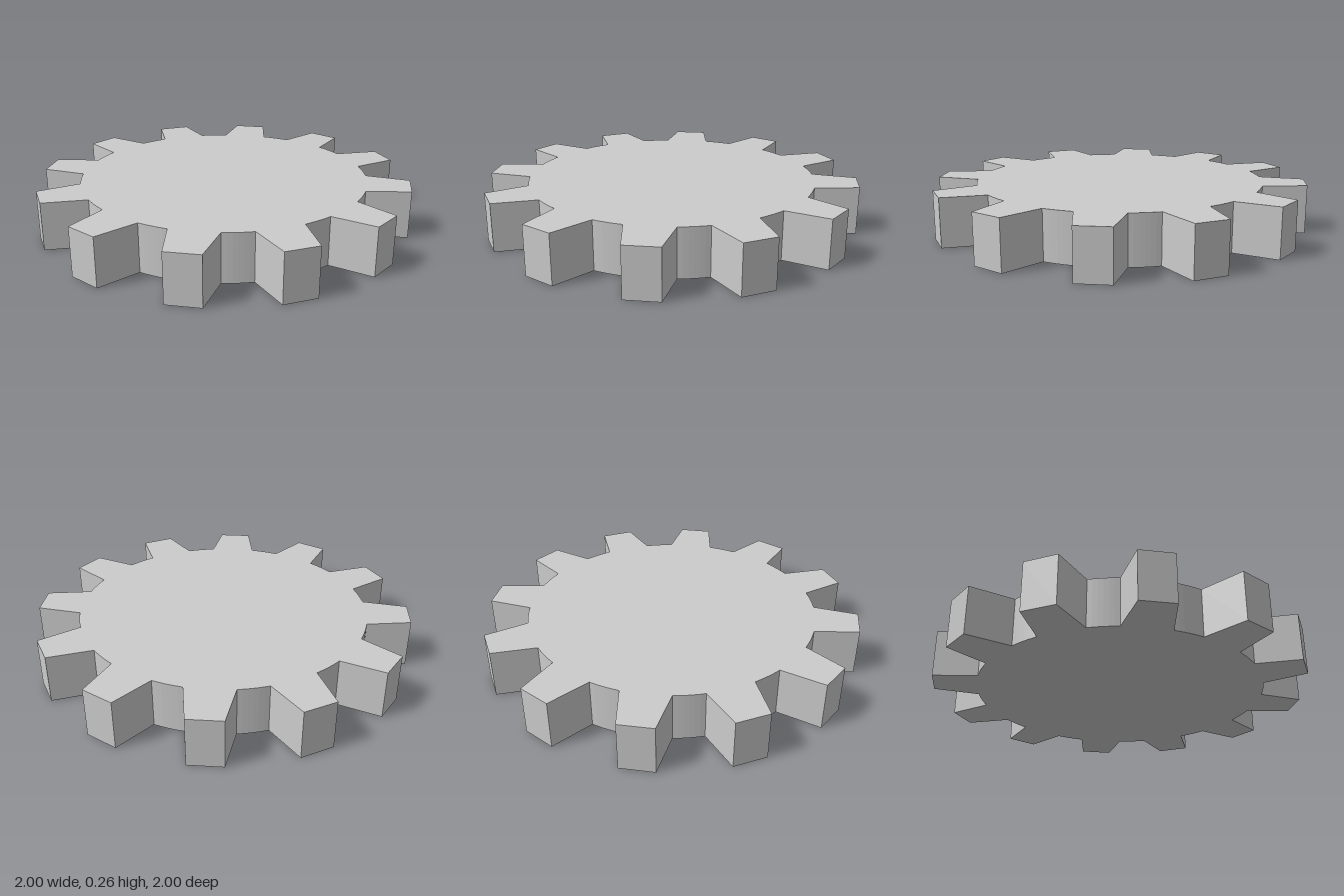
import * as THREE from 'three';

const TEETH = 12;
const HEIGHT = 0.257;
const TIP = { x: 1, half: 0.088 };          // flat outer end of a tooth
const ROOT_RADIUS = 0.775;                  // valley circle
const ROOT_ANGLE = Math.atan2(0.124, 0.765); // half angle of a tooth at its base
const VALLEY_STEPS = 6;

export function createModel() {
  const group = new THREE.Group();
  group.name = 'gear';

  // Outline: tapered tooth, then the arc of the valley up to the next tooth
  const pitch = (Math.PI * 2) / TEETH;
  const tipRadius = Math.hypot(TIP.x, TIP.half);
  const tipAngle = Math.atan2(TIP.half, TIP.x);
  const points = [];
  const add = (r, a) => points.push(new THREE.Vector2(r * Math.cos(a), r * Math.sin(a)));
  for (let i = 0; i < TEETH; i++) {
    const a = i * pitch;
    add(tipRadius, a - tipAngle);
    add(tipRadius, a + tipAngle);
    for (let s = 0; s <= VALLEY_STEPS; s++) {
      add(ROOT_RADIUS, a + ROOT_ANGLE + (pitch - 2 * ROOT_ANGLE) * (s / VALLEY_STEPS));
    }
  }

  // Solid gear lying flat on the ground
  const geometry = new THREE.ExtrudeGeometry(new THREE.Shape(points), {
    depth: HEIGHT,
    bevelEnabled: false,
  });
  geometry.rotateX(-Math.PI / 2);
  const material = new THREE.MeshStandardMaterial({ color: 0xcccccc, flatShading: true });
  const wheel = new THREE.Mesh(geometry, material);
  wheel.name = 'toothedWheel';
  group.add(wheel);
  return group;
}
